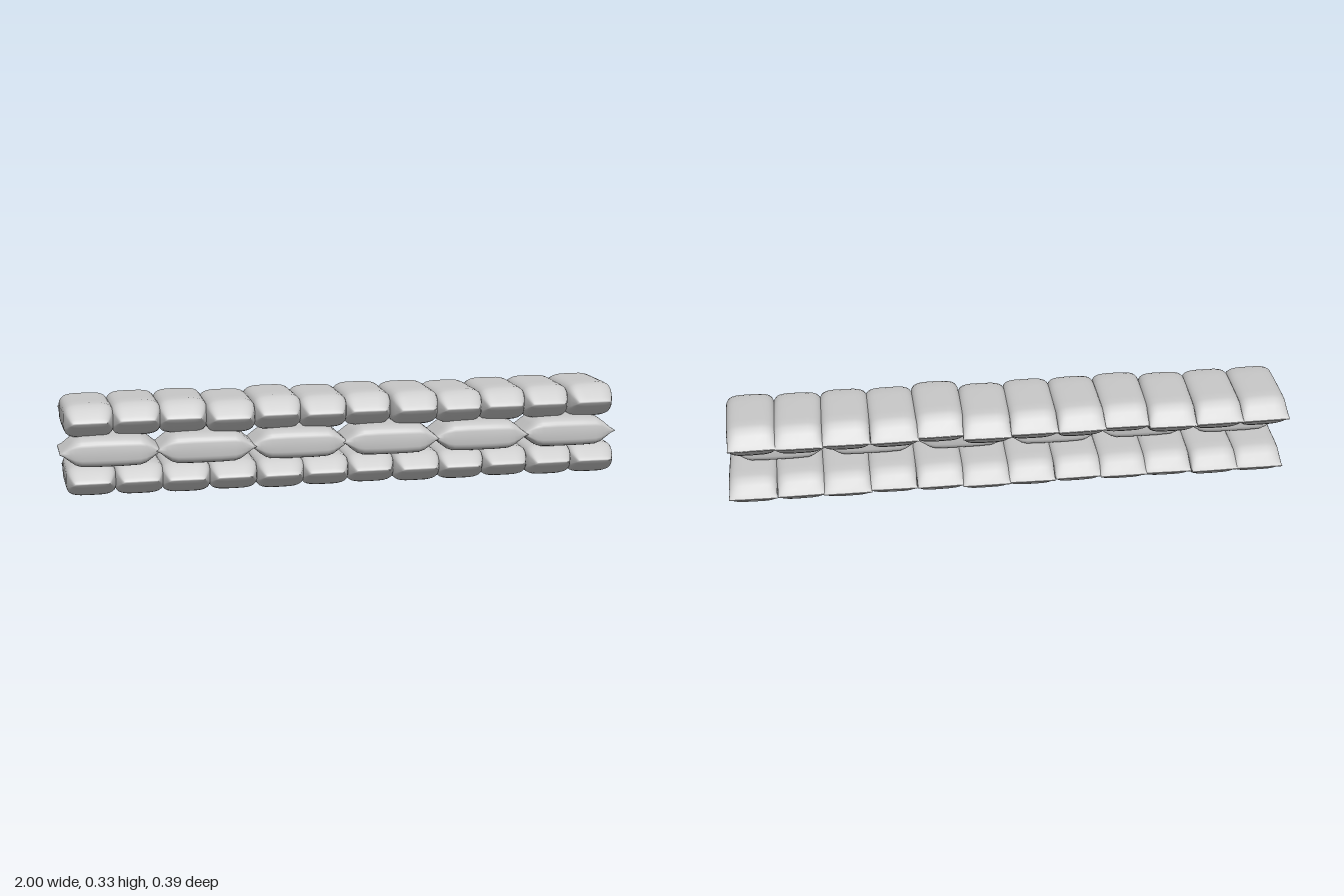
import * as THREE from 'three';

const SEGMENTS = 32;

// Cross-sections from front to back: z, half height, half width (fractions of the bag size)
const headerBag = [
  [0.167, 0.003, 0.060], [0.158, 0.016, 0.067], [0.130, 0.042, 0.078], [0.112, 0.056, 0.083],
  [0.095, 0.062, 0.086], [0.05, 0.063, 0.087], [-0.01, 0.062, 0.087], [-0.07, 0.062, 0.087],
  [-0.105, 0.061, 0.086], [-0.122, 0.055, 0.085], [-0.145, 0.038, 0.084], [-0.168, 0.014, 0.084],
  [-0.184, 0.003, 0.085],
];
const half = [
  [0.174, 0.002, 0.084], [0.160, 0.012, 0.085], [0.138, 0.032, 0.089], [0.120, 0.045, 0.094],
  [0.100, 0.052, 0.096], [0.05, 0.054, 0.097],
];
const stretcherBag = [...half, ...half.slice().reverse().map(([z, h, w]) => [-z, h, w])];

// Pillow made of rounded-rectangle loops that flatten into a seam at each end
function bagGeometry(sections) {
  const positions = [], indices = [];
  const round = (v) => Math.sign(v) * Math.pow(Math.abs(v), 0.52);
  for (const [z, h, w] of sections) {
    for (let j = 0; j < SEGMENTS; j++) {
      const a = (j / SEGMENTS) * Math.PI * 2;
      positions.push(w * round(Math.cos(a)), h * round(Math.sin(a)), z);
    }
  }
  const last = sections.length - 1;
  for (let i = 0; i < last; i++) {
    for (let j = 0; j < SEGMENTS; j++) {
      const k = (j + 1) % SEGMENTS;
      const a = i * SEGMENTS + j, b = i * SEGMENTS + k;
      const c = a + SEGMENTS, d = b + SEGMENTS;
      indices.push(a, c, b, b, c, d);
    }
  }
  // Thin closing strips at the two seams
  for (let j = 1; j < SEGMENTS - 1; j++) {
    indices.push(0, j, j + 1);
    const e = last * SEGMENTS;
    indices.push(e, e + j + 1, e + j);
  }
  const geometry = new THREE.BufferGeometry();
  geometry.setAttribute('position', new THREE.Float32BufferAttribute(positions, 3));
  geometry.setIndex(indices);
  geometry.computeVertexNormals();
  return geometry;
}

export function createModel() {
  const model = new THREE.Group();
  model.name = 'sandbagWall';
  const cloth = new THREE.MeshStandardMaterial({ color: 0xc8c8c8 });
  cloth.name = 'greyCloth';
  const header = bagGeometry(headerBag);
  const stretcher = bagGeometry(stretcherBag);

  function addRow(name, geometry, count, place) {
    const row = new THREE.Group();
    row.name = name;
    for (let i = 0; i < count; i++) {
      const bag = new THREE.Mesh(geometry, cloth);
      bag.name = 'sandbag';
      place(bag, i);
      row.add(bag);
    }
    model.add(row);
  }

  // Small fore-and-aft and height differences between neighbouring bags
  const topShift = [0.003, -0.002, -0.006, 0.018, 0, 0.006, -0.008, 0.02, 0.008, 0.006, 0, 0.003];
  const bottomShift = [0.016, 0.014, 0.022, 0.018, 0.024, 0.017, 0.012, 0.022, 0.024, 0.015, 0.02, 0.017];
  const topLift = [-0.003, 0, 0, -0.005, 0.002, -0.002, 0, 0.003, -0.004, 0, 0, 0.003];

  addRow('bottomRow', header, 12, (bag, i) => {
    bag.position.set(-0.893 + i * 0.1641, 0.059, bottomShift[i]);
    bag.scale.y = 0.88 + 0.03 * ((i * 5) % 3) / 2;
    bag.rotation.y = 0.02 * Math.sin(i * 2.1);
  });
  addRow('middleRow', stretcher, 6, (bag, i) => {
    bag.position.set(-0.826 + i * 0.3285, 0.161, 0.082 + 0.004 * Math.sin(i * 2.3));
    bag.rotation.y = Math.PI / 2;
  });
  addRow('topRow', header, 12, (bag, i) => {
    bag.position.set(-0.897 + i * 0.1641, 0.267 + topLift[i] * 0.6, topShift[i] - 0.005);
    bag.scale.y = 0.98 + topLift[i] * 5;
    bag.rotation.y = 0.02 * Math.sin(i * 1.7 + 1);
  });
  return model;
}
